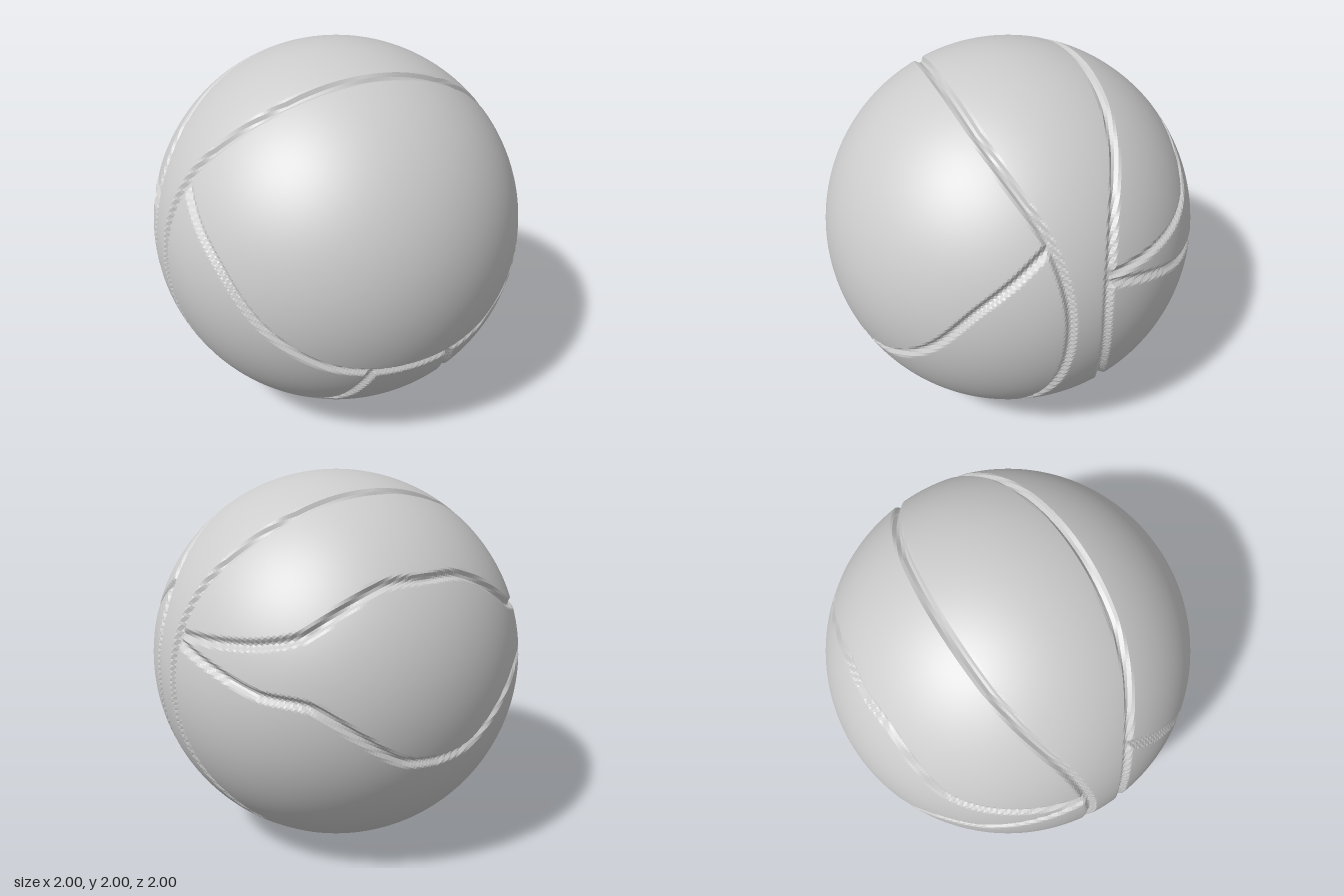
import * as THREE from 'three';

// Half seams for x >= 0 as points near the unit sphere; the rest is mirrored.
const ring = [
  [0, 0.93, 0.37], [0.2, 0.92, 0.36], [0.58, 0.76, 0.29], [0.87, 0.48, 0.16], [0.98, 0.18, 0.1],
  [0.99, -0.1, 0.1], [0.91, -0.4, 0.14], [0.75, -0.62, 0.22], [0.56, -0.78, 0.28],
  [0.2, -0.91, 0.37], [0, -0.92, 0.38],
];
const seams = [
  ring, // front ring
  ring.map(([x, y, z]) => [x, y, -z]), // back ring
  // front U
  [[0, -0.38, 0.925], [0.2, -0.37, 0.91], [0.45, -0.3, 0.84], [0.7, -0.1, 0.71],
    [0.84, 0.18, 0.51], [0.88, 0.34, 0.33], [0.87, 0.48, 0.16]],
  // short lower front seam
  [[0.22, -0.38, 0.9], [0.25, -0.5, 0.83], [0.3, -0.65, 0.7], [0.4, -0.74, 0.54],
    [0.5, -0.78, 0.38], [0.56, -0.78, 0.28]],
  // upper back arch
  [[0, 0.58, -0.81], [0.22, 0.57, -0.79], [0.44, 0.47, -0.77], [0.59, 0.37, -0.72],
    [0.73, 0.32, -0.6], [0.87, 0.3, -0.4], [0.95, 0.28, -0.11]],
  // lower back bowl
  [[0, -0.28, -0.96], [0.19, -0.25, -0.95], [0.43, -0.08, -0.9], [0.6, 0.05, -0.8],
    [0.78, 0.09, -0.62], [0.9, 0.17, -0.4], [0.96, 0.25, -0.11]],
];

// Split each seam into short segments lying on the sphere
function seamSegments(points) {
  const curve = new THREE.CatmullRomCurve3(points.map((p) => new THREE.Vector3(...p).normalize()));
  const pts = curve.getSpacedPoints(40).map((p) => p.normalize());
  return pts.slice(1).map((p, i) => new THREE.Line3(pts[i], p));
}

export function createModel() {
  const group = new THREE.Group();
  group.name = 'ball';
  const grey = new THREE.MeshStandardMaterial({ color: 0xcccccc, flatShading: true });
  grey.name = 'light grey';

  const segments = seams.flatMap(seamSegments);
  const geometry = new THREE.IcosahedronGeometry(1, 72);
  const pos = geometry.attributes.position;
  const v = new THREE.Vector3();
  const mirrored = new THREE.Vector3();
  const near = new THREE.Vector3();

  // Press the seams into the sphere
  for (let i = 0; i < pos.count; i++) {
    v.fromBufferAttribute(pos, i).normalize();
    mirrored.set(Math.abs(v.x), v.y, v.z);
    let d2 = 1;
    for (const s of segments) {
      if (s.start.distanceToSquared(mirrored) > 0.02) continue;
      s.closestPointToPoint(mirrored, true, near);
      d2 = Math.min(d2, near.distanceToSquared(mirrored));
    }
    const depth = 0.024 * (1 - THREE.MathUtils.smoothstep(Math.sqrt(d2), 0.004, 0.03));
    v.multiplyScalar(1 - depth);
    pos.setXYZ(i, v.x, v.y + 1, v.z);
  }
  geometry.computeVertexNormals();

  const shell = new THREE.Mesh(geometry, grey);
  shell.name = 'groovedShell';
  group.add(shell);
  return group;
}
